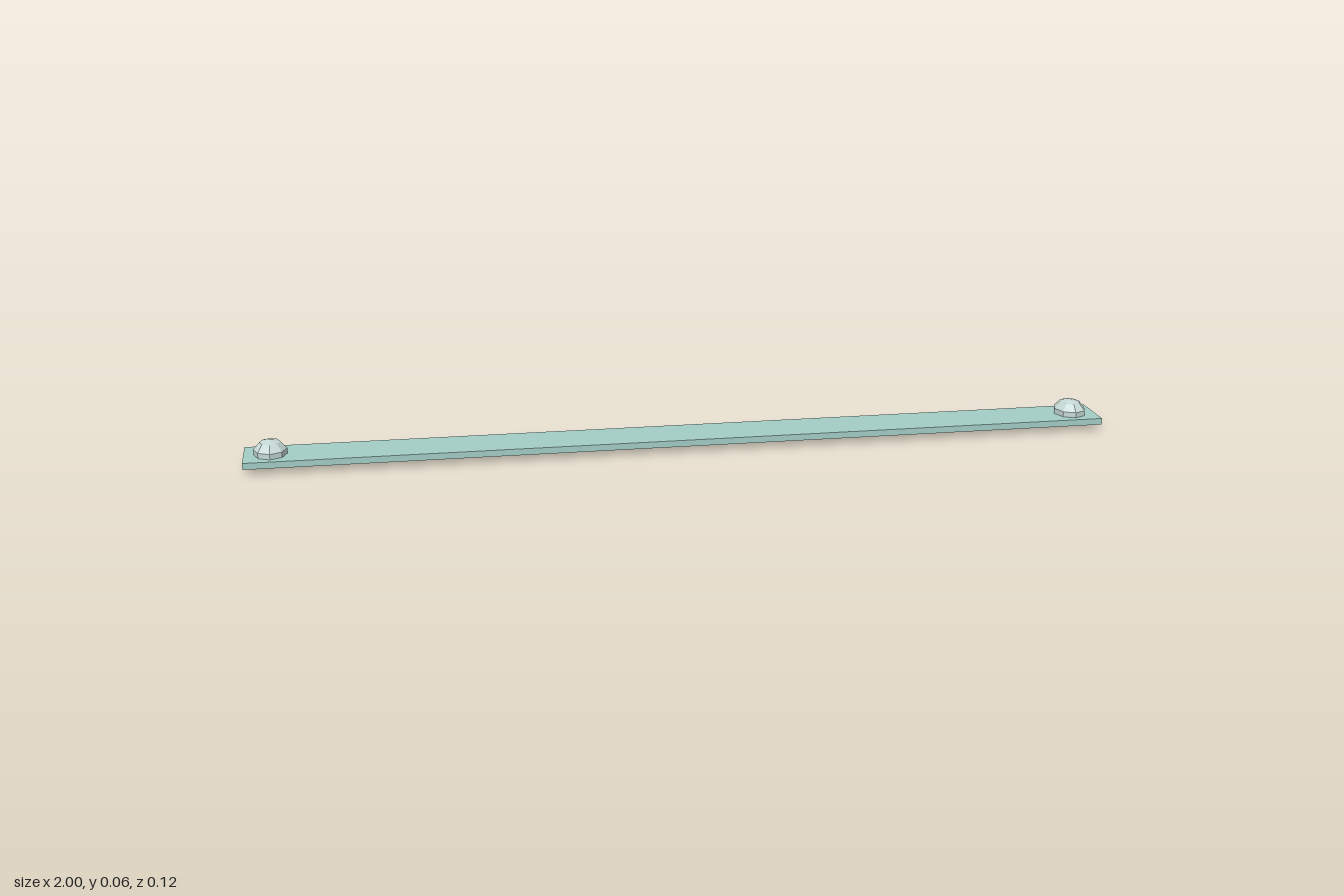
import * as THREE from 'three';

export function createModel() {
  const group = new THREE.Group();

  // Flat strip
  const strip = new THREE.Mesh(
    new THREE.BoxGeometry(2, 0.015, 0.12),
    new THREE.MeshStandardMaterial({ color: 0xa3cdc5, flatShading: true })
  );
  strip.name = 'strip';
  strip.position.y = 0.022;
  group.add(strip);

  // Faceted oval rivets passing through both ends
  const rivetMaterial = new THREE.MeshStandardMaterial({ color: 0xc6d9d5, flatShading: true });
  const rivetGeometry = new THREE.SphereGeometry(1, 8, 5);
  rivetGeometry.scale(0.0395, 0.032, 0.0468);
  for (const side of [-1, 1]) {
    const rivet = new THREE.Mesh(rivetGeometry, rivetMaterial);
    rivet.name = side > 0 ? 'leftRivet' : 'rightRivet';
    rivet.position.set(side * 0.94, 0.032, 0);
    group.add(rivet);
  }
  return group;
}
